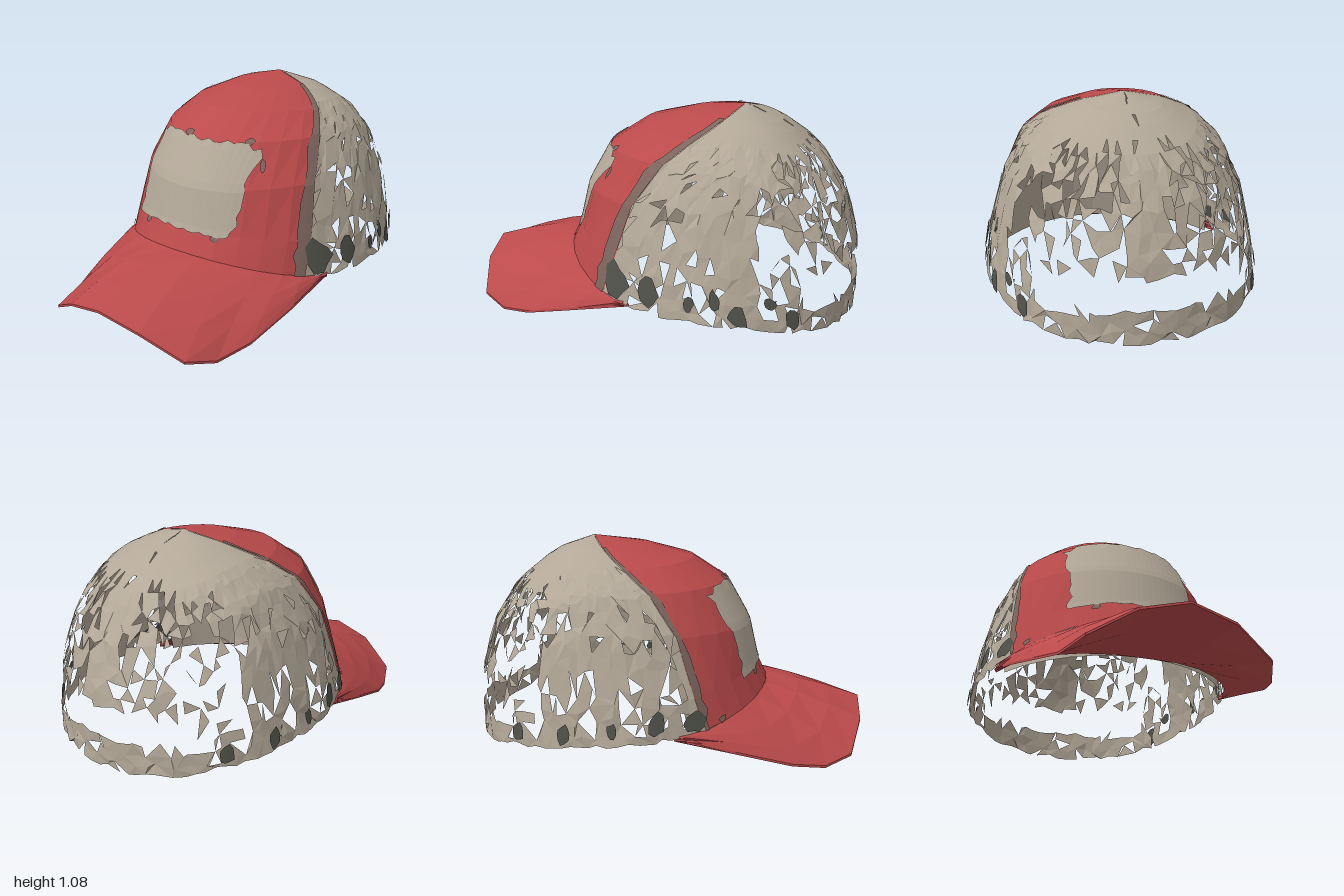
import * as THREE from 'three';

const mat = (name, color) =>
  new THREE.MeshStandardMaterial({ name, color, side: THREE.DoubleSide, flatShading: true });

// Crown profiles from rim to apex: [radius fraction, height]
const FRONT = [[1, 0.34], [0.94, 0.45], [0.89, 0.65], [0.76, 0.86], [0.57, 0.975], [0.33, 1.035], [0, 1.08]];
const SIDE = [[1, 0.18], [0.96, 0.38], [0.85, 0.67], [0.71, 0.86], [0.55, 0.96], [0.3, 1.035], [0, 1.08]];
const BACK = [[1, 0.08], [1, 0.25], [0.99, 0.42], [0.87, 0.66], [0.68, 0.84], [0.35, 1.0], [0, 1.08]];
const RAD = Math.PI / 180;
const APEX_Z = -0.4;

// Angle from the front where panel and netting meet, by level
const SEAM = [[57], [60], [63], [70], [78], [86], [90]];

const at = (profile, t, k) => {
  const i = Math.min(5, Math.floor(t));
  return THREE.MathUtils.lerp(profile[i][k], profile[i + 1][k], t - i);
};
const seam = (t) => at(SEAM, t, 0);

// Point on the crown: a in degrees from the front towards +x, t from 0 (rim) to 6 (apex)
function crown(a, t, offset = 0) {
  const s = Math.sin(a * RAD), c = Math.cos(a * RAD);
  const end = c > 0 ? FRONT : BACK;
  const mix = (k) => c * c * at(end, t, k) + s * s * at(SIDE, t, k);
  const f = mix(0), rimZ = -0.25 + 0.75 * c, tilt = t / 6;
  const square = c < 0 ? 1 + 0.18 * c * c : 1; // fuller corners at the back
  return new THREE.Vector3(
    0.67 * s * square * f + s * offset * (1 - tilt),
    mix(1) + offset * tilt,
    APEX_Z + (rimZ - APEX_Z) * f + c * offset * (1 - tilt));
}

function seeded(seed) {
  return () => {
    seed = (seed * 16807) % 2147483647;
    return seed / 2147483647;
  };
}

function fromTriangles(points) {
  const g = new THREE.BufferGeometry().setFromPoints(points);
  g.computeVertexNormals();
  return g;
}

// Surface from a point rule over a grid, u to the right and v upwards
function sheet(rule, nu, nv) {
  const out = [];
  for (let i = 0; i < nu; i++) for (let j = 0; j < nv; j++) {
    const p = rule(i, j), q = rule(i + 1, j), r = rule(i + 1, j + 1), s = rule(i, j + 1);
    out.push(p, q, r, p, r, s);
  }
  return fromTriangles(out);
}

// Chance that a piece of netting is torn away, the same on both sides
function gapChance(b, y) {
  if (b > 141 && y > 0.23 && y < 0.39) return 1; // strap opening
  if (y < 0.23) return 0.08;
  if (b > 171) return 0.05;
  if (b > 120 && b < 150 && y < 0.79) return 0.74;
  if (b >= 150 && y < 0.84) return 0.52;
  if (b > 125 && y < 0.9) return 0.3;
  if (y > 0.8) return 0;
  return b > 90 && y > 0.5 ? 0.08 : 0.19;
}

// Torn netting: a jittered grid with seeded gaps
function netting() {
  const rnd = seeded(4711), NU = 60, NV = 20, out = [];
  const angle = (i, t) => seam(t) + (360 - 2 * seam(t)) * i / NU;
  const grid = Array.from({ length: NU + 1 }, (_, i) => Array.from({ length: NV + 1 }, (_, j) => {
    const t = 6 * j / NV;
    const k = i > 0 && i < NU && t < 4 ? 1 : 0;
    const da = (rnd() - 0.5) * 3.4 * k, dt = (rnd() - 0.5) * 0.24 * k;
    return crown(angle(i, t) + da, Math.max(0, t + dt), (rnd() - 1) * 0.013 * k);
  }));
  const add = (a, ...tri) => {
    const y = (tri[0].y + tri[1].y + tri[2].y) / 3;
    if (rnd() >= gapChance(a > 180 ? 360 - a : a, y)) out.push(...tri);
  };
  for (let i = 0; i < NU; i++) for (let j = 0; j < NV; j++) {
    const p = grid[i][j], q = grid[i + 1][j], r = grid[i + 1][j + 1], s = grid[i][j + 1];
    const a = angle(i + 0.5, 6 * (j + 0.5) / NV);
    if ((i + j) % 2) { add(a, p, q, r); add(a, p, r, s); }
    else { add(a, p, q, s); add(a, q, r, s); }
  }
  return fromTriangles(out);
}

// Irregular spot lying on the crown
const spotNoise = seeded(321);
function spot(a, t, ra, rt, offset = 0.008) {
  const radius = Array.from({ length: 10 }, () => 0.75 + 0.5 * spotNoise());
  return sheet((i, j) => {
    const w = i * Math.PI / 5, k = radius[i % 10] * (1 - j / 3);
    return crown(a + ra * k * Math.cos(w), Math.max(0, t + rt * k * Math.sin(w)), offset);
  }, 10, 3);
}

// Outer brim edge on one half, and the crown angles it joins
const EDGE = [[0, 0.21, 1], [0.22, 0.16, 0.97], [0.42, 0.05, 0.89], [0.49, 0.015, 0.75],
  [0.55, 0.05, 0.58], [0.59, 0.13, 0.3], [0.6, 0.2, 0.01]];
const JOIN = [0, 13, 26, 38, 48, 56, 67];

function brimPoint(i, v, under) {
  const k = Math.abs(i - 6), side = i < 6 ? -1 : 1;
  const outer = new THREE.Vector3(...EDGE[k]);
  const inner = crown(JOIN[k], 0);
  if (under) {
    outer.y -= 0.012;
    inner.y = Math.min(inner.y - 0.01, 0.15 + k * 0.008);
  }
  const p = outer.lerp(inner, v);
  if (!under) p.y += 0.015 * Math.sin(v * Math.PI);
  p.y = Math.max(0, p.y);
  p.x *= side;
  return p;
}

export function createModel() {
  const red = mat('red cloth', 0xbb4a4b);
  const beige = mat('beige netting', 0xb3a898);
  const charcoal = mat('dark stain', 0x50524a);
  const brown = mat('faded seam', 0x7d655e);
  const cap = new THREE.Group();
  cap.name = 'cap';
  const part = (name, geometry, material) => {
    const m = new THREE.Mesh(geometry, material);
    m.name = name;
    cap.add(m);
  };

  // Front panel and its lining, which reaches down behind the brim
  part('frontPanel', sheet((i, j) => crown(seam(j) * (i / 6 - 1), j), 12, 6), red);
  part('frontLining', sheet((i, j) => {
    const p = crown((seam(j) + 5) * (1 - i / 6), j, -0.018);
    if (j === 0) p.y = Math.min(p.y, 0.16);
    return p;
  }, 12, 6), beige);
  part('liningMark', spot(-31, 1.5, 2, 1.1, -0.026), brown);
  part('liningMark', spot(-48, 0.4, 3, 0.3, -0.026), brown);

  // Ragged patch following the front panel, narrower at its lower right
  const rough = seeded(99);
  const wobble = Array.from({ length: 40 }, () => (rough() - 0.5) * 0.03);
  part('frontPatch', sheet((i, j) => {
    const edgeU = i === 0 || i === 20 ? wobble[j] : 0;
    const edgeV = j === 0 || j === 12 ? wobble[i + 12] * 4 : 0;
    const corner = j === 12 && (i < 2 || i > 18) ? -0.2 : 0;
    const t = 0.9 + 2.1 * j / 12 + edgeV + corner;
    const x = -0.325 + (0.605 + 0.04 * j / 12) * i / 20 + edgeU;
    return crown(Math.asin(x / (0.67 * at(FRONT, t, 0))) / RAD, t, 0.009);
  }, 20, 12), beige);

  // Faded smudges around the patch
  for (const [a, t, ra, rt] of [[38, 2.5, 1.6, 0.14], [-49, 0.12, 2, 0.1], [-20, 0.8, 2.2, 0.12],
    [19, 0.8, 2.2, 0.12], [-8, 3.08, 3, 0.1], [30, 3.02, 3, 0.1]]) {
    part('frontSmudge', spot(a, t, ra, rt, 0.007), brown);
  }

  // Faded strips along the two side seams, broader on the left
  for (const [side, width] of [[-1, 3], [1, 6]]) {
    part('seamStrip', sheet((i, j) => {
      const t = j * 0.28;
      const a = i < 2 ? seam(t) - (width + wobble[j] * 90) * (1 - i / 2) : seam(t);
      return crown(side * a, t, 0.006);
    }, 2, 18), brown);
  }

  // Netting around the back, with dark stains low on its sides
  part('backNetting', netting(), beige);
  for (const [a, t, ra, rt] of [[63, 0.55, 6.5, 0.42], [78, 0.55, 4, 0.38], [94, 0.5, 2, 0.2],
    [103, 0.65, 2, 0.25], [112, 0.3, 3.5, 0.25], [124, 0.75, 2.5, 0.15], [133, 0.4, 3, 0.25],
    [-61, 0.35, 4, 0.3], [-76, 0.5, 3, 0.28], [-92, 0.4, 2, 0.2], [-110, 0.35, 3, 0.25],
    [-130, 0.4, 3, 0.25]]) {
    part('nettingStain', spot(a, t, ra, rt), charcoal);
  }

  // Curved brim: top, underside and rim
  part('brimTop', sheet((i, j) => brimPoint(i, j / 3, false), 12, 3), red);
  part('brimUnderside', sheet((i, j) => brimPoint(12 - i, j / 2, true), 12, 2), red);
  part('brimEdge', sheet((i, j) => brimPoint(i, 0, j === 0), 12, 1), red);
  return cap;
}
